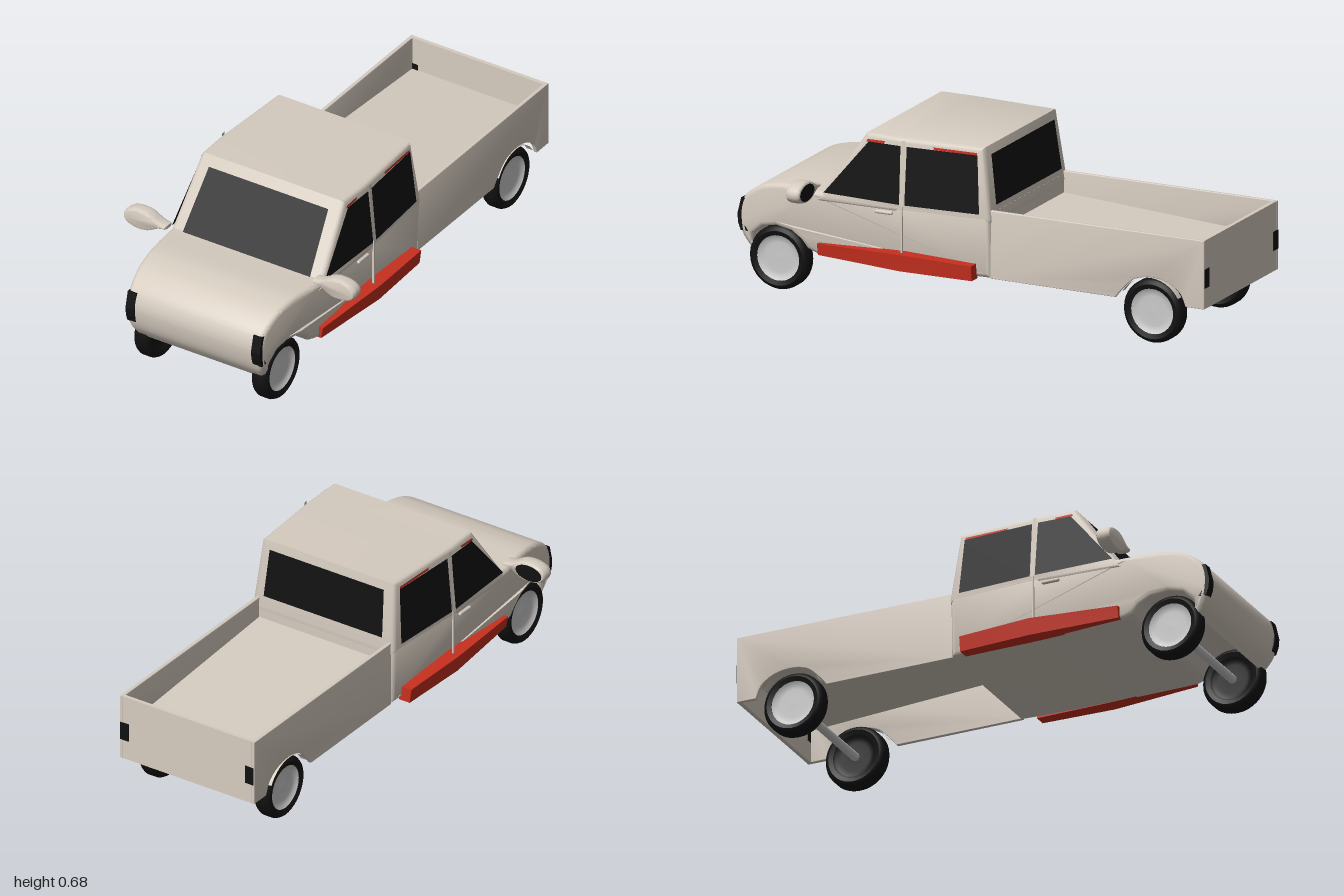
import * as THREE from 'three';
import { toCreasedNormals } from 'three/addons/utils/BufferGeometryUtils.js';

const mat = (color, side = THREE.FrontSide) => new THREE.MeshStandardMaterial({ color, side });
const paint = mat(0xd6ccc0, THREE.DoubleSide);
const black = mat(0x111111, THREE.DoubleSide);
const red = mat(0xc8301f, THREE.DoubleSide);
const grey = mat(0xcccccc, THREE.DoubleSide);

// Half width of the cab at a given height and length position
const belt = [[1.0, 0.305], [0.65, 0.345], [0.3, 0.352], [-0.09, 0.328]];
function halfWidth(y, z) {
  let w = z > 1 ? belt[0][1] : belt[3][1];
  for (let i = 0; i < 3; i++) {
    const [z0, w0] = belt[i], [z1, w1] = belt[i + 1];
    if (z <= z0 && z >= z1) w = w0 + (w1 - w0) * (z0 - z) / (z0 - z1);
  }
  if (y > 0.41) w *= 1 - 0.07 * (y - 0.41) / 0.27;
  if (y < 0.22) w *= 1 - 0.9 * (0.22 - y);
  return w;
}

export function createModel() {
  const model = new THREE.Group();
  const add = (name, geometry, material) => {
    const mesh = new THREE.Mesh(geometry, material);
    mesh.name = name;
    model.add(mesh);
    return mesh;
  };
  const toShape = pts => new THREE.Shape(pts.map(p => new THREE.Vector2(...p)));
  // Side outline in (z, y), extruded along x between x0 and x1
  const slab = (shape, x0, x1, bevel = 0) => {
    const g = new THREE.ExtrudeGeometry(shape, {
      depth: x1 - x0 - 2 * bevel, bevelEnabled: bevel > 0, bevelThickness: bevel,
      bevelSize: bevel, bevelOffset: -bevel, bevelSegments: 3, curveSegments: 14 });
    return g.rotateY(-Math.PI / 2).translate(x1 - bevel, 0, 0);
  };
  // Slab whose sides follow the cab width
  const cabSlab = shape => {
    const g = slab(shape, -0.35, 0.35, 0.018), p = g.attributes.position;
    for (let i = 0; i < p.count; i++)
      p.setX(i, p.getX(i) / 0.35 * halfWidth(p.getY(i), p.getZ(i)));
    return toCreasedNormals(g, 0.6);
  };
  // Flat polygon from corners
  const panel = (name, corners, material) => {
    const g = new THREE.BufferGeometry(), idx = [];
    g.setAttribute('position', new THREE.Float32BufferAttribute(corners.flat(), 3));
    for (let i = 1; i < corners.length - 1; i++) idx.push(0, i, i + 1);
    g.setIndex(idx);
    g.computeVertexNormals();
    return add(name, g, material);
  };

  // Hood, doors and cab floor, with the front wheel arch cut across
  const body = new THREE.Shape();
  body.moveTo(0.945, 0.145);
  body.splineThru([[0.98, 0.2], [0.996, 0.28], [0.985, 0.335], [0.955, 0.375], [0.9, 0.41],
    [0.84, 0.428], [0.77, 0.435], [0.65, 0.43]].map(p => new THREE.Vector2(...p)));
  for (const p of [[0.3, 0.43], [-0.09, 0.43], [-0.09, 0.17], [0.3, 0.17], [0.65, 0.175], [0.69, 0.19],
    [0.715, 0.225], [0.76, 0.252], [0.83, 0.262], [0.89, 0.25], [0.93, 0.215]]) body.lineTo(...p);
  add('cabBody', cabSlab(body), paint);

  // Cab upper part with roof
  add('cabRoof', cabSlab(toShape([[0.65, 0.39], [0.62, 0.43], [0.44, 0.683], [0.3, 0.683],
    [-0.055, 0.683], [-0.092, 0.41], [-0.09, 0.39], [0.3, 0.39]])), paint);

  // Windshield and rear window
  const wz = y => 0.62 - (y - 0.43) * 0.18 / 0.253 + 0.006;
  panel('windshield', [[-0.29, 0.428, wz(0.428)], [0.29, 0.428, wz(0.428)],
    [0.272, 0.648, wz(0.648)], [-0.272, 0.648, wz(0.648)]], black);
  panel('rearWindow', [[0.275, 0.455, -0.092], [-0.275, 0.455, -0.092],
    [-0.265, 0.65, -0.066], [0.265, 0.65, -0.066]], black);

  for (const s of [1, -1]) {
    // Side windows, trim and door details
    const onSide = off => ([z, y]) => [s * (halfWidth(y, z) + off), y, z];
    panel('frontSideWindow', [[0.61, 0.43], [0.425, 0.653], [0.288, 0.653], [0.284, 0.425]].map(onSide(0.005)), black);
    panel('rearSideWindow', [[0.262, 0.425], [0.262, 0.653], [-0.032, 0.653], [-0.048, 0.425]].map(onSide(0.005)), black);
    panel('windowTrim', [[0.435, 0.652], [0.43, 0.662], [-0.03, 0.662], [-0.03, 0.652]].map(onSide(0.004)), red);
    panel('doorPillar', [[0.283, 0.42], [0.283, 0.675], [0.266, 0.675], [0.266, 0.42]].map(onSide(0.008)), paint);
    add('doorSeam', new THREE.BoxGeometry(0.008, 0.2, 0.006), paint).position.set(s * 0.35, 0.325, 0.275);
    const handle = add('doorHandle', new THREE.CapsuleGeometry(0.008, 0.06, 4, 8).rotateX(Math.PI / 2), paint);
    handle.position.set(s * 0.352, 0.387, 0.35);

    // Running board, widest near its middle
    const board = new THREE.BoxGeometry(1, 1, 2, 1, 1, 2), p = board.attributes.position;
    for (let i = 0; i < p.count; i++) {
      const k = Math.round(p.getZ(i)) + 1, top = p.getY(i) > 0;
      const outer = [0.368, 0.382, 0.355][k] - (top ? 0 : 0.008);
      p.setXYZ(i, s * (p.getX(i) > 0 ? outer : 0.31),
        top ? [0.225, 0.235, 0.225][k] : [0.165, 0.168, 0.178][k], [-0.03, 0.27, 0.635][k]);
    }
    add('runningBoard', toCreasedNormals(board, 0.5), red);

    // Door mirror: teardrop housing with dark glass facing back
    const drop = new THREE.Shape();
    drop.moveTo(0.335, 0.462);
    drop.bezierCurveTo(0.39, 0.462, 0.39, 0.497, 0.45, 0.497);
    drop.bezierCurveTo(0.49, 0.497, 0.527, 0.485, 0.527, 0.455);
    drop.bezierCurveTo(0.527, 0.425, 0.49, 0.413, 0.45, 0.413);
    drop.bezierCurveTo(0.39, 0.413, 0.39, 0.448, 0.335, 0.448);
    const housing = new THREE.ExtrudeGeometry(drop, { depth: 0.012, bevelThickness: 0.022,
      bevelSize: 0.006, bevelOffset: -0.006, bevelSegments: 3, curveSegments: 8 });
    const mirror = new THREE.Group();
    mirror.name = 'doorMirror';
    const shell = new THREE.Mesh(toCreasedNormals(housing.translate(0, 0, 0.648), 0.9), paint);
    const glass = new THREE.Mesh(new THREE.CircleGeometry(1, 24).scale(0.06, 0.033, 1), black);
    shell.name = 'mirrorHousing';
    glass.name = 'mirrorGlass';
    glass.position.set(0.457, 0.455, 0.624);
    mirror.add(shell, glass);
    mirror.scale.x = s;
    model.add(mirror);

    // Headlight and tail light
    const lamp = slab(toShape([[0.95, 0.22], [0.986, 0.22], [0.997, 0.25], [1, 0.285], [0.984, 0.35], [0.95, 0.35]]), -0.02, 0.02);
    add('headlight', lamp, black).position.x = s * 0.286;
    add('tailLight', new THREE.BoxGeometry(0.04, 0.075, 0.02), black).position.set(s * 0.29, 0.288, -0.992);

    // Bed side with rear wheel arch
    const side = new THREE.Shape();
    side.moveTo(-0.085, 0.17);
    side.lineTo(-0.085, 0.44);
    side.lineTo(-1, 0.44);
    side.lineTo(-1, 0.168);
    side.lineTo(-0.92, 0.168);
    side.splineThru([[-0.895, 0.22], [-0.84, 0.255], [-0.77, 0.266], [-0.7, 0.25], [-0.65, 0.205],
      [-0.62, 0.168]].map(q => new THREE.Vector2(...q)));
    const c = s * 0.305;
    add('bedSide', toCreasedNormals(slab(side, c - 0.008, c + 0.008, 0.003), 0.6), paint);

    // Rear arch lip
    const lip = new THREE.CylinderGeometry(0.137, 0.137, 0.03, 20, 1, true, -1.05, 2.1);
    lip.rotateX(-Math.PI / 2).rotateY(Math.PI / 2);
    add('archLip', lip, paint).position.set(s * 0.3, 0.128, -0.77);
  }

  // Bed floor and tailgate
  panel('bedFloor', [[-0.3, 0.355, -0.088], [0.3, 0.355, -0.088], [0.3, 0.3, -0.99], [-0.3, 0.3, -0.99]], paint);
  add('tailgate', new THREE.BoxGeometry(0.61, 0.272, 0.016), paint).position.set(0, 0.304, -0.991);

  // Wheels and axles
  const tyreProfile = [[0.09, -0.03], [0.108, -0.036], [0.12, -0.03], [0.126, -0.018], [0.126, 0.018],
    [0.12, 0.03], [0.108, 0.036], [0.09, 0.03], [0.09, -0.03]].map(q => new THREE.Vector2(...q));
  const tyre = toCreasedNormals(new THREE.LatheGeometry(tyreProfile, 36).rotateZ(-Math.PI / 2), 0.7);
  const rimProfile = [[0, 0.02], [0.06, 0.018], [0.08, 0.022], [0.093, 0.031]].map(q => new THREE.Vector2(...q));
  const rim = new THREE.LatheGeometry(rimProfile, 36).rotateZ(-Math.PI / 2);
  for (const z of [0.83, -0.77]) {
    for (const s of [1, -1]) {
      add('tyre', tyre, black).position.set(s * 0.268, 0.127, z);
      for (const f of [1, -1]) {
        const disc = add(f === s ? 'rim' : 'innerRim', rim, f === s ? grey : black);
        disc.position.set(s * 0.268, 0.127, z);
        disc.rotation.y = f > 0 ? 0 : Math.PI;
      }
    }
    const axle = new THREE.CylinderGeometry(0.017, 0.017, 0.5, 16).rotateZ(Math.PI / 2);
    add('axle', axle, grey).position.set(0, 0.127, z);
  }
  return model;
}
